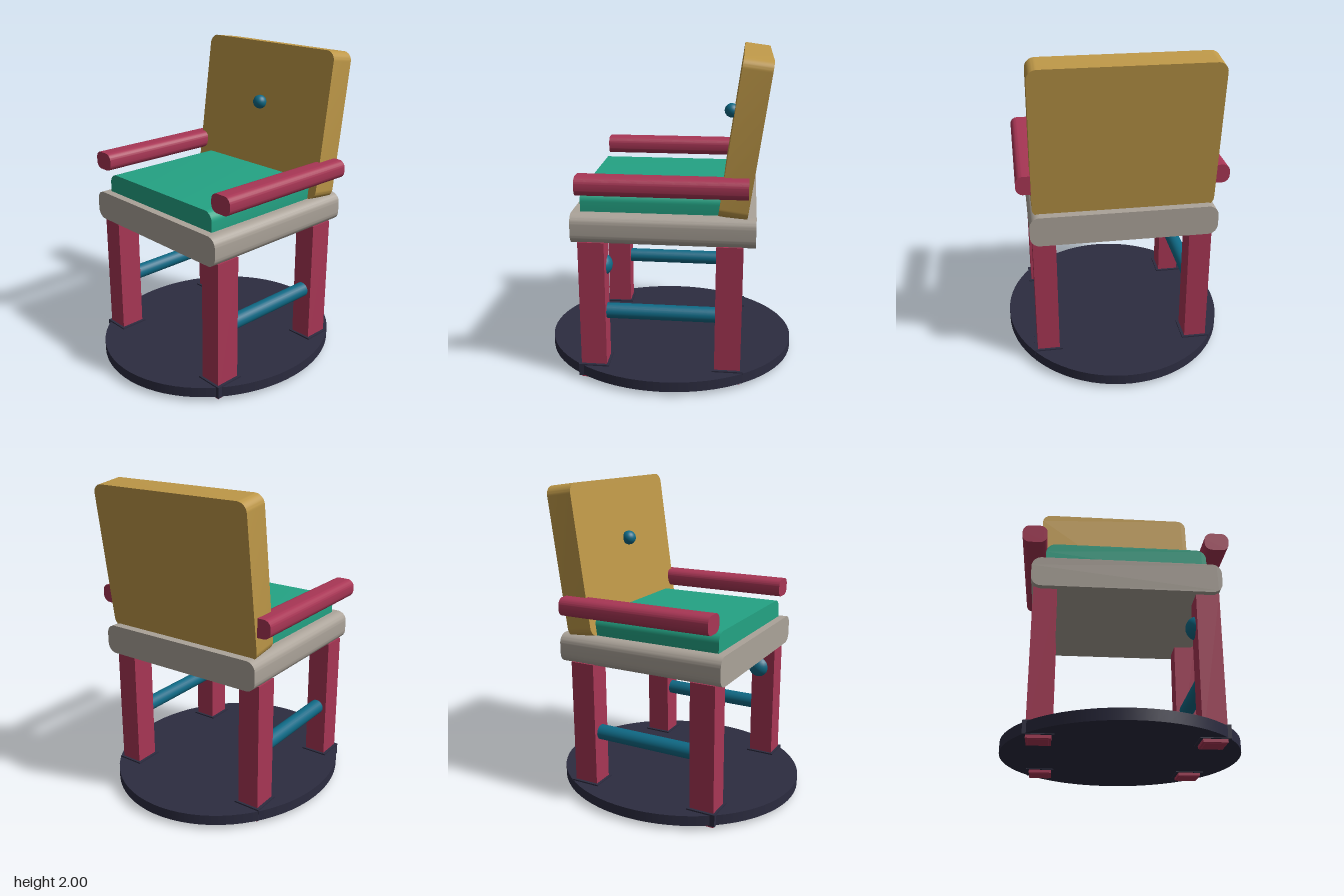
import * as THREE from 'three';
import { toCreasedNormals } from 'three/addons/utils/BufferGeometryUtils.js';

const paint = (name, color) => {
  const m = new THREE.MeshStandardMaterial({ color });
  m.name = name;
  return m;
};

// Rounded rectangle in x-y, extruded along z and centred on the origin
function roundedSlab(w, h, depth, r) {
  const x = w / 2, y = h / 2;
  const s = new THREE.Shape();
  s.moveTo(-x + r, -y);
  s.lineTo(x - r, -y);
  s.absarc(x - r, -y + r, r, -Math.PI / 2, 0);
  s.absarc(x - r, y - r, r, 0, Math.PI / 2);
  s.absarc(-x + r, y - r, r, Math.PI / 2, Math.PI);
  s.absarc(-x + r, -y + r, r, Math.PI, Math.PI * 1.5);
  const g = new THREE.ExtrudeGeometry(s, { depth, bevelEnabled: false, curveSegments: 6 });
  g.translate(0, 0, -depth / 2);
  return toCreasedNormals(g, Math.PI / 5);
}

export function createModel() {
  const navy = paint('navy', 0x2c2c40);
  const crimson = paint('crimson', 0xa83655);
  const teal = paint('teal', 0x0f6a86);
  const green = paint('green', 0x24a384);
  const stone = paint('stone', 0xaba399);
  const ochre = paint('ochre', 0xbe9848);

  const model = new THREE.Group();
  model.name = 'armchair';
  const add = (name, geometry, material, x, y, z) => {
    const mesh = new THREE.Mesh(geometry, material);
    mesh.name = name;
    mesh.position.set(x, y, z);
    model.add(mesh);
    return mesh;
  };

  // Oval floor plate
  const plate = add('basePlate', new THREE.CylinderGeometry(1, 1, 0.065, 72), navy, 0, 0.06, 0);
  plate.scale.set(0.718, 1, 0.808);

  // Seat and cushion
  add('seat', roundedSlab(1.13, 0.185, 1.1, 0.06), stone, 0, 0.987, 0);
  add('cushion', roundedSlab(0.97, 0.18, 0.95, 0.06), green, 0, 1.11, 0.025);

  // Backrest leaning away from the sitter
  const tilt = Math.atan2(0.125, 0.92);
  const back = add('backrest', roundedSlab(1.09, 0.93, 0.17, 0.06), ochre, 0, 1.53, -0.472);
  back.rotation.x = -tilt;
  add('backButton', new THREE.SphereGeometry(0.045, 24, 16), teal, 0, 1.62, -0.38);

  // Mirrored side parts
  for (const [side, sx] of [['left', 1], ['right', -1]]) {
    add(side + 'Armrest', roundedSlab(0.15, 0.115, 1, 0.045), crimson, sx * 0.557, 1.268, 0);

    for (const [end, z] of [['Front', 0.43], ['Rear', -0.4]]) {
      add(side + end + 'Leg', new THREE.BoxGeometry(0.14, 0.9, 0.16), crimson, sx * 0.48, 0.455, z);
      add(side + end + 'Collar', new THREE.BoxGeometry(0.175, 0.078, 0.19), navy, sx * 0.48, 0.062, z);
      // Tapered foot tip below the plate
      const foot = new THREE.CylinderGeometry(0.0707, 0.055, 0.022, 4, 1);
      foot.rotateY(Math.PI / 4);
      foot.scale(1.4, 1, 1.6);
      add(side + end + 'Foot', foot, crimson, sx * 0.48, 0.011, z).geometry = toCreasedNormals(foot, 0.3);
    }

    const rod = new THREE.CylinderGeometry(0.048, 0.048, 0.7, 24);
    rod.rotateX(Math.PI / 2);
    add(side + 'Stretcher', rod, teal, sx * 0.48, 0.438, 0.015);
  }

  // Knob set into the inner corner of one front leg
  add('legKnob', new THREE.SphereGeometry(0.074, 24, 16), teal, 0.434, 0.725, 0.394);

  return model;
}
